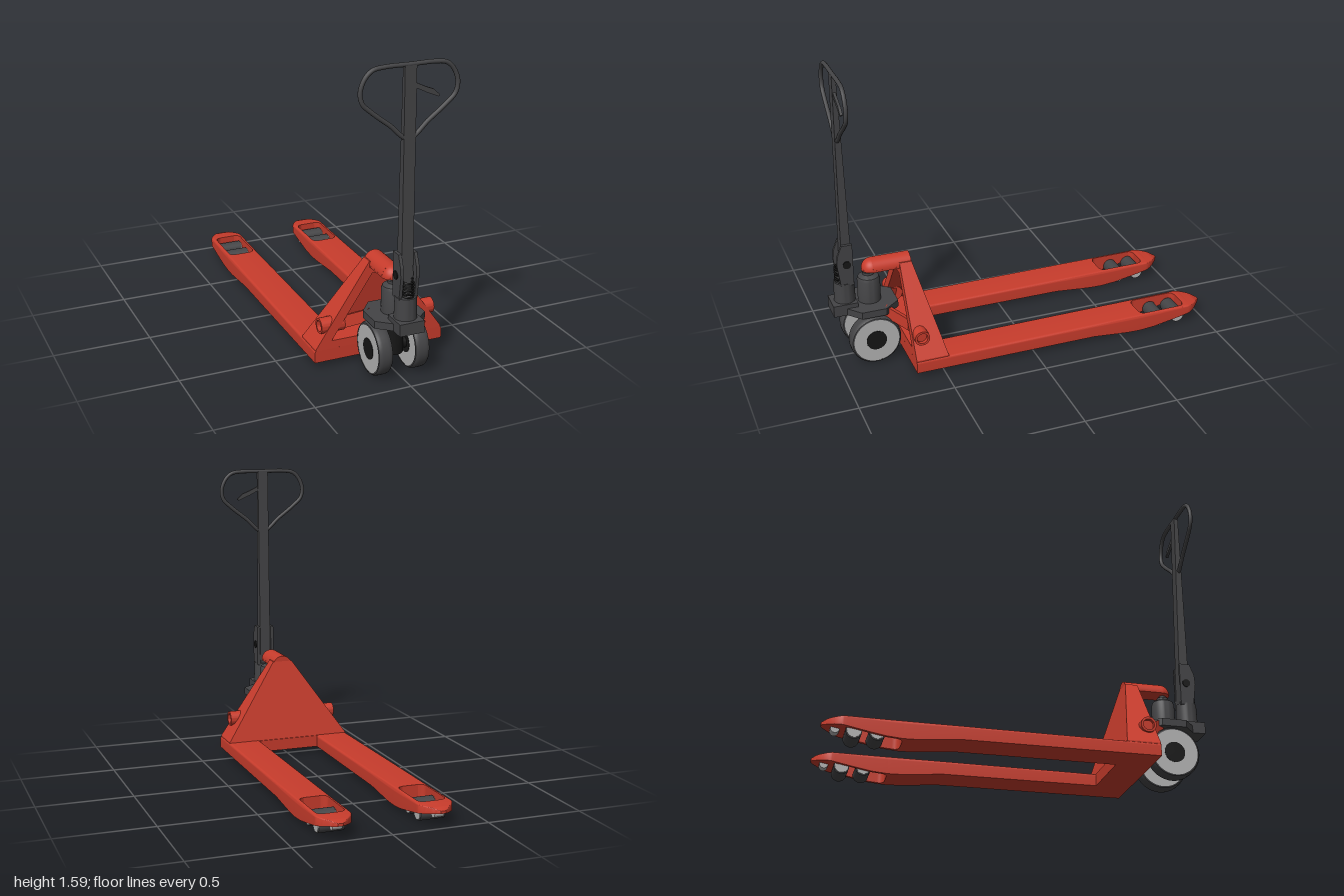
import * as THREE from 'three';
import { toCreasedNormals } from 'three/addons/utils/BufferGeometryUtils.js';

const paint = (color) => new THREE.MeshStandardMaterial({ color, side: THREE.DoubleSide });
const red = paint(0xc83c2c), dark = paint(0x444446), black = paint(0x161616), light = paint(0xb4b4b4);

export function createModel() {
  const root = new THREE.Group();

  const add = (name, geometry, material, x = 0, y = 0, z = 0) => {
    const mesh = new THREE.Mesh(geometry, material);
    mesh.name = name;
    mesh.position.set(x, y, z);
    root.add(mesh);
    return mesh;
  };
  const box = (name, mat, x, y, z, w, h, d) => add(name, new THREE.BoxGeometry(w, h, d), mat, x, y, z);
  const axial = (name, mat, r, len, x, y, z, seg = 32) =>
    add(name, new THREE.CylinderGeometry(r, r, len, seg).rotateZ(Math.PI / 2), mat, x, y, z);
  const lathe = (pts) =>
    toCreasedNormals(new THREE.LatheGeometry(pts.map((p) => new THREE.Vector2(...p)), 40), 0.6);
  const poly = (pts) => new THREE.Shape(pts.map((p) => new THREE.Vector2(...p)));
  const extrude = (shape, depth, steps = 1) =>
    new THREE.ExtrudeGeometry(shape, { depth, steps, bevelEnabled: false, curveSegments: 6 });
  // move every vertex of a geometry by a rule
  const deform = (geometry, rule, crease = 0.5) => {
    const p = geometry.attributes.position, v = new THREE.Vector3();
    for (let i = 0; i < p.count; i++) {
      rule(v.fromBufferAttribute(p, i));
      p.setXYZ(i, v.x, v.y, v.z);
    }
    return toCreasedNormals(geometry, crease);
  };
  // piecewise linear lookup, stops sorted by rising z
  const along = (stops, z) => {
    for (let i = 1; i < stops.length; i++) {
      const [a, ya] = stops[i - 1], [b, yb] = stops[i];
      if (z <= b) return THREE.MathUtils.lerp(ya, yb, THREE.MathUtils.clamp((z - a) / (b - a), 0, 1));
    }
    return stops[stops.length - 1][1];
  };

  // Forks: a cross-section swept along z, shaped by top, bottom and width rules
  const topLine = [[-1, 0.088], [-0.97, 0.099], [-0.9, 0.105], [-0.6, 0.103], [0.65, 0.094]];
  const bottomLine = [[-1, 0.074], [-0.9, 0.056], [-0.8, 0.036], [-0.7, 0.018], [-0.62, 0.011],
    [-0.55, 0.012], [-0.45, 0.02], [-0.34, 0.03], [0.65, 0.03]];
  const W = 0.09, H = 0.07, R = 0.014, holeHalf = 0.0725, holeR = 0.03, holeBack = -0.885, holeFront = -0.62;
  const noseWidth = (z) => (z > -0.9 ? 1 : 1 - 0.85 * Math.pow((-0.9 - z) / 0.1, 1.6));
  const holeWidth = (z) => {
    const d = Math.min(holeR, Math.max(0, Math.min(z - holeBack, holeFront - z)));
    return holeHalf - holeR + Math.sqrt(holeR ** 2 - (holeR - d) ** 2);
  };
  const fullSection = poly([[-W, 0], [W, 0], [W, H - R]]);
  fullSection.quadraticCurveTo(W, H, W - R, H);
  fullSection.lineTo(R - W, H);
  fullSection.quadraticCurveTo(-W, H, -W, H - R);
  const railSection = (s) => {
    const shape = poly([[s * holeHalf, 0], [s * W, 0], [s * W, H - R]]);
    shape.quadraticCurveTo(s * W, H, s * (W - R), H);
    shape.lineTo(s * holeHalf, H);
    return shape;
  };
  const forkPart = (section, z0, z1, steps, isRail) => deform(extrude(section, z1 - z0, steps), (v) => {
    v.z += z0;
    const low = along(bottomLine, v.z), high = along(topLine, v.z);
    v.y = low + (v.y / H) * (high - low);
    if (isRail && Math.abs(v.x) < holeHalf + 0.0005) v.x = Math.sign(v.x) * holeWidth(v.z);
    v.x *= noseWidth(v.z);
  });

  for (const s of [-1, 1]) {
    const cx = s * 0.26;
    add('forkBeam', forkPart(fullSection, holeFront, 0.65, 50), red, cx);
    add('forkNose', forkPart(fullSection, -1, holeBack, 16), red, cx);
    for (const side of [-1, 1]) add('forkRail', forkPart(railSection(side), holeBack, holeFront, 40, true), red, cx);

    // Load rollers and the small entry wheel
    for (const z of [-0.74, -0.85]) {
      axial('loadRoller', dark, 0.039, 0.13, cx, 0.041, z);
      axial('rollerHub', light, 0.034, 0.139, cx, 0.041, z);
    }
    axial('entryRoller', light, 0.022, 0.05, cx, 0.06, -0.935, 24);
  }

  // Cross beam joining the forks
  box('crossBeam', red, 0, 0.062, 0.56, 0.36, 0.064, 0.18);

  // Tower: triangular rim with a recessed back panel, leaning with height
  const lean = (v) => {
    const k = (v.y - 0.09) / 0.43;
    v.z = THREE.MathUtils.lerp(0.475 + 0.1 * k, 0.65 - 0.01 * k, v.z);
  };
  const outline = [[-0.345, 0.09], [0.345, 0.09], [0.345, 0.1], [0.055, 0.52], [-0.055, 0.52], [-0.345, 0.1]];
  const rim = poly(outline);
  rim.holes.push(poly([[-0.26, 0.135], [-0.04, 0.455], [0.04, 0.455], [0.26, 0.135]]));
  add('towerRim', deform(extrude(rim, 1), lean, 0.1), red);
  add('towerPanel', deform(extrude(poly(outline), 0.15), lean, 0.1), red);

  // Lift arm: half-round bar with a rounded end
  const armR = 0.055;
  add('liftArm', new THREE.CylinderGeometry(armR, armR, 0.205, 24, 1, false, Math.PI / 2, Math.PI)
    .rotateX(Math.PI / 2), red, 0, 0.495, 0.6775);
  add('liftArmEnd', new THREE.SphereGeometry(armR, 24, 12, Math.PI, Math.PI, 0, Math.PI / 2)
    .rotateY(Math.PI), red, 0, 0.495, 0.775);
  add('liftArmBase', new THREE.CylinderGeometry(armR, armR, 0.01, 32), red, 0, 0.495, 0.775);
  box('liftArmPlate', red, 0, 0.495, 0.6775, 0.11, 0.01, 0.205);

  for (const s of [-1, 1]) {
    // Pivot sleeves and linkage bars
    const sleeve = lathe([[0, 0], [0.04, 0], [0.04, 0.125], [0.028, 0.125], [0.028, 0.105], [0, 0.105]]);
    add('pivotSleeve', sleeve.rotateZ(-s * Math.PI / 2), red, s * 0.185, 0.205, 0.605);
    const from = new THREE.Vector3(s * 0.19, 0.205, 0.61), to = new THREE.Vector3(s * 0.095, 0.29, 0.745);
    const bar = box('linkBar', red, 0, 0, 0, 0.022, 0.06, from.distanceTo(to));
    bar.position.copy(from).lerp(to, 0.5);
    bar.lookAt(to);

    // Steering wheels
    const tire = lathe([[0.12, -0.038], [0.127, -0.036], [0.133, -0.028], [0.135, -0.015],
      [0.135, 0.015], [0.133, 0.028], [0.127, 0.036], [0.12, 0.038]]);
    add('steerTire', tire.rotateZ(Math.PI / 2), dark, s * 0.098, 0.137, 0.8);
    axial('wheelDisc', light, 0.122, 0.07, s * 0.098, 0.137, 0.8, 40);
    axial('wheelHub', black, 0.054, 0.074, s * 0.098, 0.137, 0.8);
    axial('linkBolt', black, 0.014, 0.02, s * 0.118, 0.295, 0.765, 16);
  }
  axial('axle', black, 0.03, 0.2, 0, 0.137, 0.8);
  add('steerColumn', new THREE.CylinderGeometry(0.05, 0.05, 0.18, 24), black, 0, 0.19, 0.8);

  // Pump base plate with cut corners, and its front block
  const plate = poly([[-0.07, 0.66], [0.07, 0.66], [0.135, 0.74], [0.135, 0.87], [0.065, 0.93],
    [-0.065, 0.93], [-0.135, 0.87], [-0.135, 0.74]]);
  add('pumpPlate', extrude(plate, 0.038).rotateX(Math.PI / 2), dark, 0, 0.315, 0);
  box('frontBlock', dark, 0, 0.308, 0.935, 0.13, 0.062, 0.13);

  // Pump cylinder and piston
  add('pumpCylinder', lathe([[0, 0.27], [0.05, 0.27], [0.05, 0.3], [0.06, 0.3], [0.06, 0.435], [0.054, 0.452],
    [0.03, 0.465], [0.03, 0.478], [0.018, 0.478], [0.018, 0.5]]), dark, 0, 0, 0.795);

  // Tiller foot, hinge cheeks, bolt and return spring
  add('tillerFoot', lathe([[0, 0.33], [0.056, 0.33], [0.053, 0.45], [0, 0.45]]), dark, 0, 0, 0.925);
  const cheek = poly([[0.882, 0.44], [0.95, 0.44], [0.966, 0.56], [0.962, 0.61], [0.938, 0.67], [0.882, 0.67]]);
  for (const s of [-1, 1])
    add('hingeCheek', extrude(cheek, 0.016).rotateY(-Math.PI / 2), dark, s * 0.041 + 0.008);
  axial('hingeBolt', black, 0.021, 0.108, 0, 0.56, 0.915, 24);
  const coil = Array.from({ length: 73 }, (_, i) => {
    const a = (i / 12) * Math.PI * 2;
    return new THREE.Vector3(0.027 * Math.cos(a), 0.452 + i * 0.0012, 0.945 + 0.024 * Math.sin(a));
  });
  add('returnSpring', new THREE.TubeGeometry(new THREE.CatmullRomCurve3(coil), 144, 0.005, 6), black);

  // Tiller shaft, slimmer in depth toward the top
  add('tillerShaft', deform(new THREE.BoxGeometry(0.06, 1.13, 1), (v) => {
    const k = v.y / 1.13 + 0.5;
    v.z = v.z > 0 ? THREE.MathUtils.lerp(0.938, 0.93, k) : THREE.MathUtils.lerp(0.882, 0.909, k);
  }, 0.3), dark, 0, 1.01, 0);

  // Handle loop
  const half = [[0.1, 1.305], [0.19, 1.375], [0.235, 1.42], [0.245, 1.475], [0.222, 1.535], [0.185, 1.568], [0.13, 1.577]];
  const loop = [[0, 1.228], ...half, [0, 1.577], ...half.map(([x, y]) => [-x, y]).reverse()]
    .map(([x, y]) => new THREE.Vector3(x, y, 0.92));
  const loopCurve = new THREE.CatmullRomCurve3(loop, true, 'centripetal');
  add('handleLoop', new THREE.TubeGeometry(loopCurve, 120, 0.011, 12, true), dark);

  // Release lever
  const lever = poly([[0.02, 1.495], [0.075, 1.468], [0.12, 1.45], [0.152, 1.42], [0.145, 1.412], [0.08, 1.44], [0.02, 1.47]]);
  add('releaseLever', extrude(lever, 0.014), dark, 0, 0, 0.913);

  return root;
}
